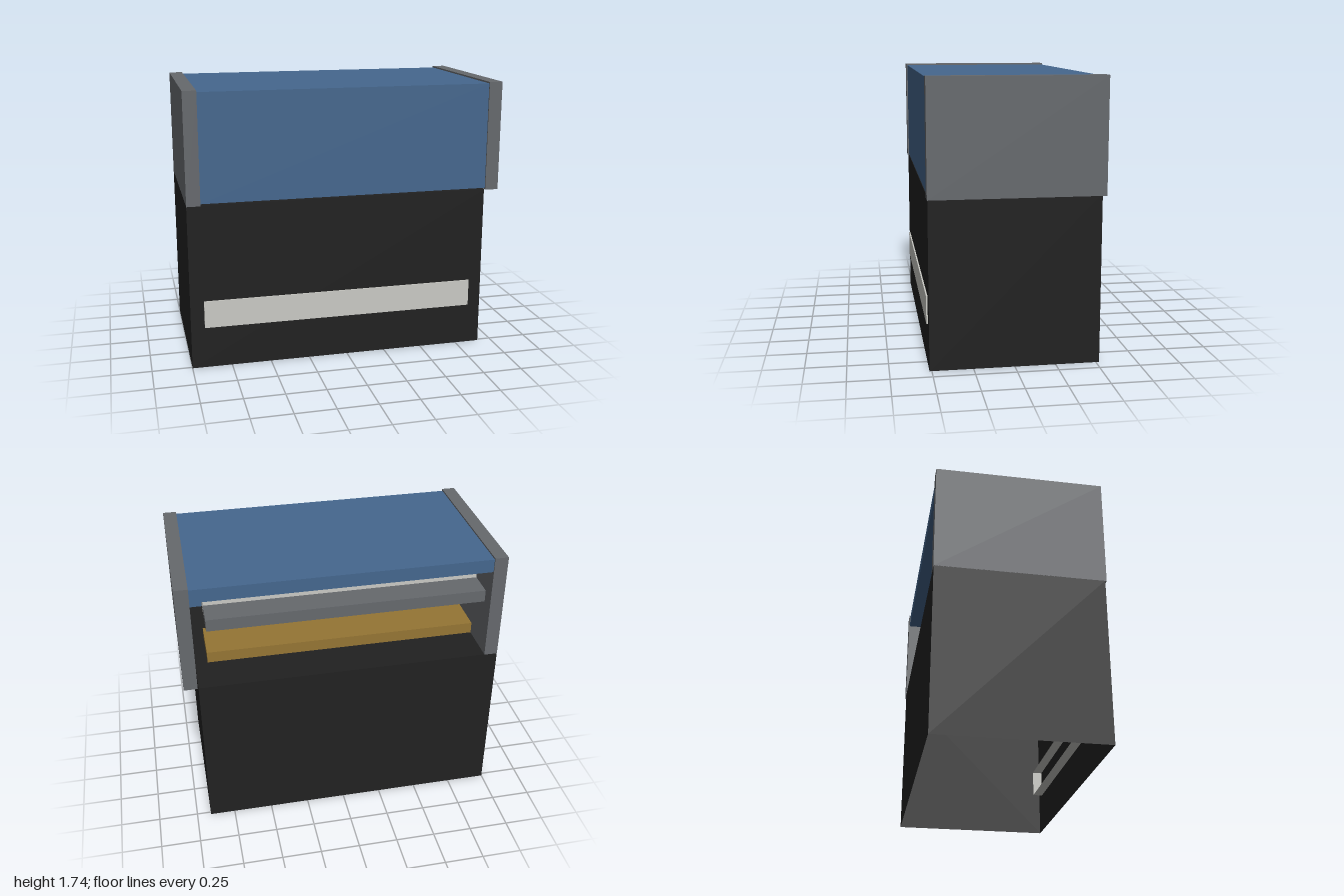
import * as THREE from 'three';

const mat = (name, color, side = THREE.FrontSide) => {
  const m = new THREE.MeshStandardMaterial({ color, side });
  m.name = name;
  return m;
};

// Box between two corners; openFace removes one side (0 +x, 1 -x, 2 +y, 3 -y, 4 +z, 5 -z)
function box(name, material, [x0, y0, z0], [x1, y1, z1], openFace = -1) {
  const geo = new THREE.BoxGeometry(x1 - x0, y1 - y0, z1 - z0);
  if (openFace >= 0) {
    const index = Array.from(geo.index.array);
    index.splice(openFace * 6, 6);
    geo.setIndex(index);
    geo.clearGroups();
  }
  geo.translate((x0 + x1) / 2, (y0 + y1) / 2, (z0 + z1) / 2);
  const mesh = new THREE.Mesh(geo, material);
  mesh.name = name;
  return mesh;
}

export function createModel() {
  const black = mat('black', 0x212121, THREE.DoubleSide);
  const white = mat('offWhite', 0xcacac5, THREE.DoubleSide);
  const grey = mat('grey', 0x66696d);
  const blue = mat('blue', 0x45678e);
  const ochre = mat('ochre', 0x957534);

  const model = new THREE.Group();
  model.name = 'machine';

  // Hollow cabinet, open underneath
  model.add(box('cabinet', black, [-1, 0, -0.52], [0.91, 1.048, 0.514], 3));

  // Shallow tray set through the cabinet front, open at the back
  model.add(box('frontTray', white, [-0.915, 0.265, 0.45], [0.826, 0.438, 0.523], 5));

  // End panels
  for (const side of [-1, 1]) {
    const a = side < 0 ? -1 : 0.915;
    model.add(box(side < 0 ? 'rightEndPanel' : 'leftEndPanel', grey,
      [a, 1.046, -0.522], [a + 0.085, 1.74, 0.523]));
  }

  // L-shaped cover: top and front, open at the back
  const profile = new THREE.Shape();
  [[-0.515, 1.73], [0.514, 1.73], [0.514, 1.057], [0.43, 1.057], [0.43, 1.645], [-0.515, 1.645]]
    .forEach(([z, y], i) => (i ? profile.lineTo(-z, y) : profile.moveTo(-z, y)));
  const coverGeo = new THREE.ExtrudeGeometry(profile, { depth: 1.83, bevelEnabled: false });
  coverGeo.rotateY(Math.PI / 2).translate(-0.915, 0, 0);
  const cover = new THREE.Mesh(coverGeo, blue);
  cover.name = 'cover';
  model.add(cover);

  // Inner bars spanning the compartment
  model.add(box('lowerBar', ochre, [-0.915, 1.049, -0.255], [0.83, 1.122, 0.04]));
  model.add(box('rearRail', grey, [-0.915, 1.39, -0.43], [0.83, 1.468, -0.257]));
  model.add(box('upperBlock', white, [-0.915, 1.392, -0.256], [0.83, 1.56, 0.428]));

  return model;
}
